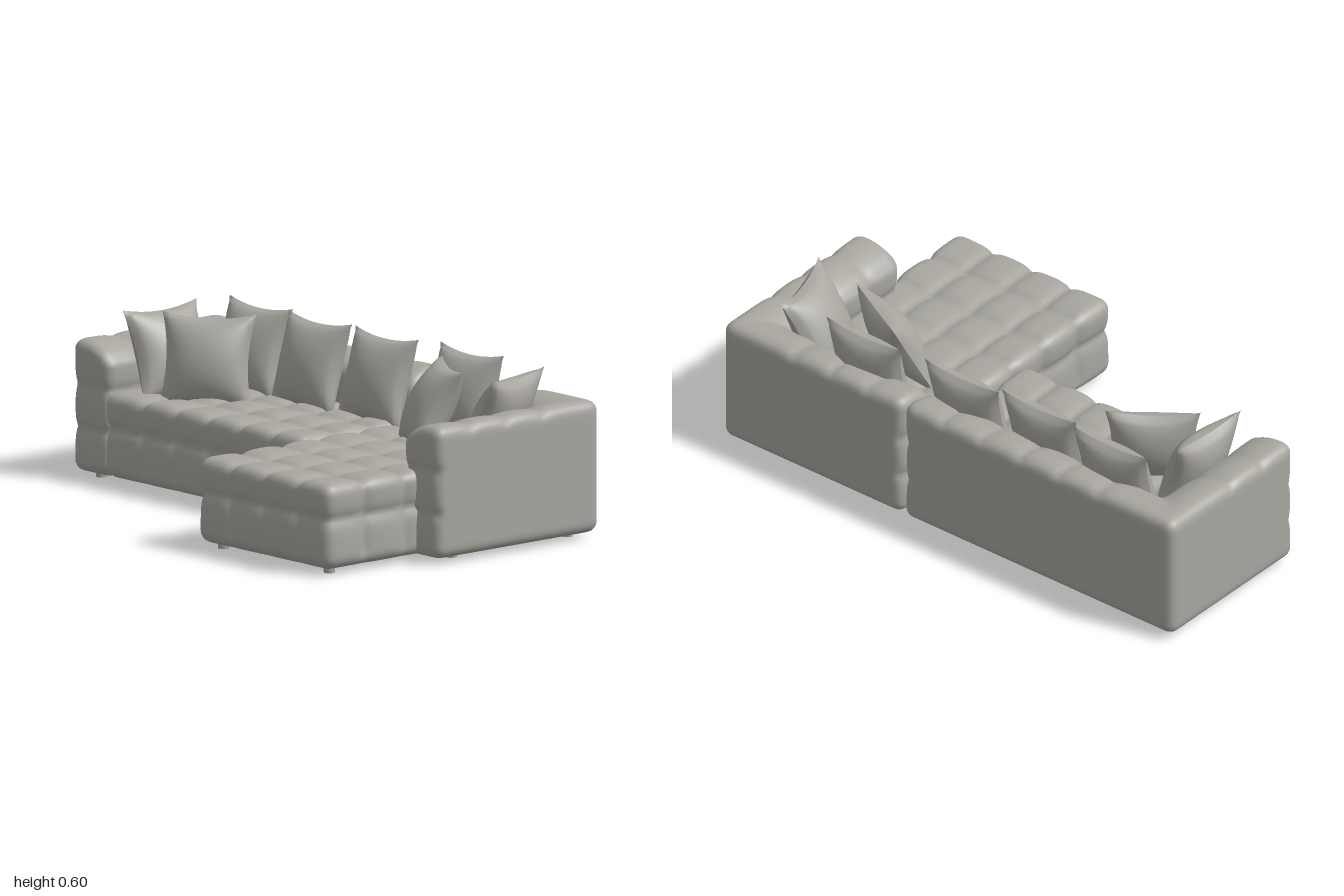
import * as THREE from 'three';
import { mergeVertices, mergeGeometries } from 'three/addons/utils/BufferGeometryUtils.js';

const { clamp, smoothstep } = THREE.MathUtils;
const AXES = ['x', 'y', 'z'];
const FLOOR = 0.02;

// evenly spaced seam positions strictly between a and b
const seams = (a, b, n) => Array.from({ length: n - 1 }, (_, i) => a + ((b - a) * (i + 1)) / n);

// Rounded block with stitched grooves; faces pointing along "plain" stay smooth.
function tuftedBlock({ min, max, radius, lines, plain, depth = 0.018, rolled = false }) {
  const lo = new THREE.Vector3(...min), hi = new THREE.Vector3(...max);
  const size = hi.clone().sub(lo), mid = hi.clone().add(lo).multiplyScalar(0.5);
  const out = new THREE.Vector3(...plain);
  const seg = (s) => Math.max(8, Math.round(s / 0.014));
  let geo = new THREE.BoxGeometry(size.x, size.y, size.z, seg(size.x), seg(size.y), seg(size.z));
  geo.translate(mid.x, mid.y, mid.z);
  geo.deleteAttribute('uv');
  geo.deleteAttribute('normal');
  geo = mergeVertices(geo, 1e-5);
  const pos = geo.attributes.position;
  const innerLo = lo.clone().addScalar(radius), innerHi = hi.clone().subScalar(radius);
  const p = new THREE.Vector3(), c = new THREE.Vector3(), n = new THREE.Vector3();
  for (let i = 0; i < pos.count; i++) {
    p.fromBufferAttribute(pos, i);
    c.copy(p).clamp(innerLo, innerHi);
    n.copy(p).sub(c).normalize();
    p.copy(c).addScaledVector(n, radius);
    let groove = 0;
    AXES.forEach((a, k) => {
      for (const s of lines[k]) groove += Math.exp(-Math.abs(p[a] - s) / 0.022) * (1 - Math.abs(n[a]));
    });
    const weight = clamp(1 - Math.max(0, n.dot(out)), 0, 1);
    p.addScaledVector(n, -depth * weight * Math.min(groove, 1.4));
    if (rolled) {
      // top falls away towards the inside of the sofa
      const inward = Math.min(1 - Math.abs(p.x), p.z + 0.58);
      const t = clamp((inward - 0.05) / 0.13, 0, 1);
      p.y -= 0.045 * t * t * smoothstep(p.y, 0.3, 0.48);
    }
    pos.setXYZ(i, p.x, p.y, p.z);
  }
  geo.computeVertexNormals();
  return geo;
}

// Scatter cushion: two bulging sheets meeting at a pinched edge
function pillowGeometry(half, bulge) {
  const sheet = new THREE.PlaneGeometry(2, 2, 26, 26);
  const pos = sheet.attributes.position;
  for (let i = 0; i < pos.count; i++) {
    const u = pos.getX(i), v = pos.getY(i);
    const fu = Math.max(0, 1 - u * u), fv = Math.max(0, 1 - v * v);
    pos.setXYZ(i, half * u * (1 - 0.13 * fv), half * v * (1 - 0.13 * fu), bulge * Math.pow(fu * fv, 0.55));
  }
  sheet.computeVertexNormals();
  return mergeGeometries([sheet, sheet.clone().rotateY(Math.PI)]);
}

export function createModel() {
  const model = new THREE.Group();
  model.name = 'cornerSofa';
  const fabric = new THREE.MeshStandardMaterial({ color: 0xa8a69f });
  fabric.name = 'warm grey fabric';

  const add = (name, geo, parent = model) => {
    const mesh = new THREE.Mesh(geo, fabric);
    mesh.name = name;
    parent.add(mesh);
    return mesh;
  };

  // Seats
  add('longSeat', tuftedBlock({
    min: [-0.84, FLOOR, -0.45], max: [0.198, 0.318, 0.092], radius: 0.045,
    lines: [seams(-0.805, 0.2, 6), [0.195], [-0.25, -0.085]], plain: [0, -1, 0],
  }));
  add('chaiseSeat', tuftedBlock({
    min: [0.202, FLOOR, -0.45], max: [0.89, 0.322, 0.58], radius: 0.045,
    lines: [seams(0.2, 0.89, 4), [0.195], [-0.32, -0.14, 0.045, 0.215, 0.4]], plain: [0, -1, 0],
  }));

  // Backrests and arms, smooth on the outside
  const rows = [0.175, 0.325];
  const shell = { radius: 0.04, depth: 0.012, rolled: true };
  add('longBack', tuftedBlock({
    ...shell, min: [-1, FLOOR, -0.58], max: [0.198, 0.485, -0.405],
    lines: [seams(-0.83, 0.2, 6), rows, []], plain: [-1, -1, -1],
  }));
  add('chaiseBack', tuftedBlock({
    ...shell, min: [0.202, FLOOR, -0.58], max: [1, 0.485, -0.405],
    lines: [seams(0.2, 0.85, 4), rows, []], plain: [1, -1, -1],
  }));
  add('rightArm', tuftedBlock({
    ...shell, min: [-1, FLOOR, -0.58], max: [-0.805, 0.485, 0.092],
    lines: [[], rows, [-0.24, -0.07]], plain: [-1, -1, -1],
  }));
  add('leftArm', tuftedBlock({
    ...shell, min: [0.808, FLOOR, -0.58], max: [1, 0.485, 0.17],
    lines: [[], rows, [-0.32, -0.155, 0.01]], plain: [1, -1, -1],
  }));

  // Scatter cushions: x, y, z, yaw, backward lean (degrees)
  const pillows = new THREE.Group();
  pillows.name = 'pillows';
  model.add(pillows);
  const pillow = pillowGeometry(0.165, 0.075);
  [
    [-0.61, 0.44, -0.395, 0, 16],
    [-0.28, 0.44, -0.375, 0, 16],
    [0.05, 0.435, -0.39, 0, 16],
    [-0.77, 0.44, -0.16, 88, 20],
    [-0.58, 0.435, -0.165, 37, 14],
    [0.47, 0.44, -0.415, 0, 14],
    [0.52, 0.44, -0.22, -28, 28],
    [0.785, 0.44, -0.305, -74, 27],
  ].forEach(([x, y, z, yaw, lean], i) => {
    const mesh = add(`pillow${i + 1}`, pillow, pillows);
    mesh.position.set(x, y, z);
    mesh.rotation.set(-THREE.MathUtils.degToRad(lean), THREE.MathUtils.degToRad(yaw), 0, 'YXZ');
  });

  // Feet
  const feet = new THREE.Group();
  feet.name = 'feet';
  model.add(feet);
  const foot = new THREE.CylinderGeometry(0.021, 0.019, 0.025, 20);
  [
    [-0.92, 0.02], [-0.92, -0.51], [0.11, 0.02], [0.11, -0.51],
    [0.27, 0.51], [0.82, 0.51], [0.27, -0.51], [0.9, -0.51], [0.9, 0.02],
  ].forEach(([x, z], i) => add(`foot${i + 1}`, foot, feet).position.set(x, 0.0125, z));

  return model;
}
